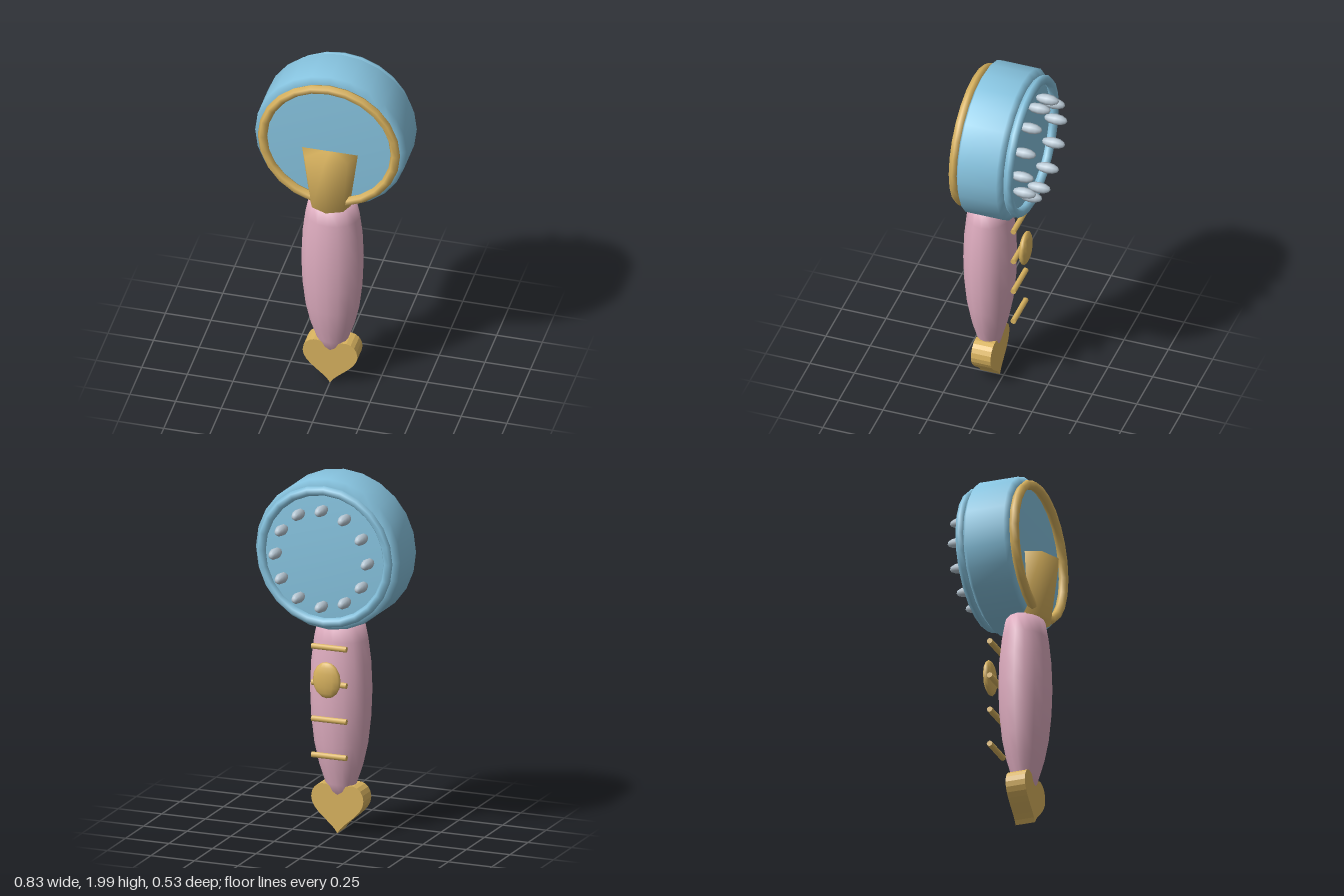
import * as THREE from 'three';
import { mergeVertices } from 'three/addons/utils/BufferGeometryUtils.js';

const makeMaterial = (name, color) => {
  const m = new THREE.MeshStandardMaterial({ color });
  m.name = name;
  return m;
};

// Share corner vertices so that shading runs smoothly over the edges
function smooth(geometry) {
  geometry.deleteAttribute('uv');
  geometry.deleteAttribute('normal');
  const merged = mergeVertices(geometry, 1e-4);
  merged.computeVertexNormals();
  return merged;
}

const lathe = (points, sides) =>
  new THREE.LatheGeometry(points.map(([r, y]) => new THREE.Vector2(r, y)), sides);

export function createModel() {
  const blue = makeMaterial('skyBlue', 0x87c4e0);
  const gold = makeMaterial('gold', 0xd9b35f);
  const pink = makeMaterial('pink', 0xdfadc0);
  const silver = makeMaterial('silver', 0xb8c8d4);

  const model = new THREE.Group();
  model.name = 'hairBrush';
  const add = (name, geometry, material, x, y, z, parent = model) => {
    const mesh = new THREE.Mesh(geometry, material);
    mesh.name = name;
    mesh.position.set(x, y, z);
    parent.add(mesh);
    return mesh;
  };

  // Round head: drum with bevelled rims, axis along z
  const headY = 1.585;
  const drum = lathe([[0, -0.135], [0.375, -0.135], [0.415, -0.105],
    [0.415, 0.11], [0.375, 0.13], [0, 0.13]], 24);
  drum.rotateX(Math.PI / 2);
  add('head', drum, blue, 0, headY, 0);

  // Rims on both faces
  const rim = new THREE.TorusGeometry(0.364, 0.026, 6, 24);
  add('frontRim', rim, gold, 0, headY, 0.152);
  add('backRim', rim, blue, 0, headY, -0.155);

  // Ring of twelve bristles on the back
  const bristles = new THREE.Group();
  bristles.name = 'bristles';
  model.add(bristles);
  const bristle = new THREE.SphereGeometry(1, 8, 6);
  bristle.rotateX(Math.PI / 2);
  bristle.scale(0.03, 0.03, 0.065);
  for (let i = 0; i < 12; i++) {
    const a = (i / 12) * Math.PI * 2;
    add('bristle', bristle, silver, 0.265 * Math.cos(a), headY + 0.265 * Math.sin(a), -0.2, bristles);
  }

  // Flared collar joining the head and the handle
  add('collar', smooth(new THREE.CylinderGeometry(0.165, 0.12, 0.345, 8)), gold, 0, 1.3575, 0.1);

  // Swelling handle, flattened front to back
  const handle = lathe([[0, 0.19], [0.06, 0.2], [0.086, 0.28], [0.12, 0.38], [0.147, 0.5],
    [0.164, 0.65], [0.17, 0.8], [0.164, 0.95], [0.148, 1.08], [0.126, 1.19], [0, 1.2]], 16);
  handle.scale(1, 1, 0.82);
  add('handle', handle, pink, 0, 0, 0.075);

  // Heart at the foot of the handle
  const heart = new THREE.Shape();
  heart.moveTo(0, 0.01);
  heart.bezierCurveTo(0.03, 0.07, 0.15, 0.12, 0.15, 0.2);
  heart.bezierCurveTo(0.15, 0.29, 0.04, 0.31, 0, 0.22);
  heart.bezierCurveTo(-0.04, 0.31, -0.15, 0.29, -0.15, 0.2);
  heart.bezierCurveTo(-0.15, 0.12, -0.03, 0.07, 0, 0.01);
  add('heart', new THREE.ExtrudeGeometry(heart, { depth: 0.11, bevelEnabled: false, curveSegments: 8 }),
    gold, 0, 0, 0.02);

  // Four bars and an oval button behind the handle
  const bar = new THREE.CylinderGeometry(0.016, 0.016, 0.2, 8);
  bar.rotateZ(Math.PI / 2);
  for (let i = 0; i < 4; i++) add('bar', bar, gold, 0, 0.465 + i * 0.2, -0.09);

  const button = new THREE.SphereGeometry(1, 12, 8);
  button.scale(0.08, 0.1, 0.028);
  add('button', button, gold, 0, 0.895, -0.125);

  return model;
}
